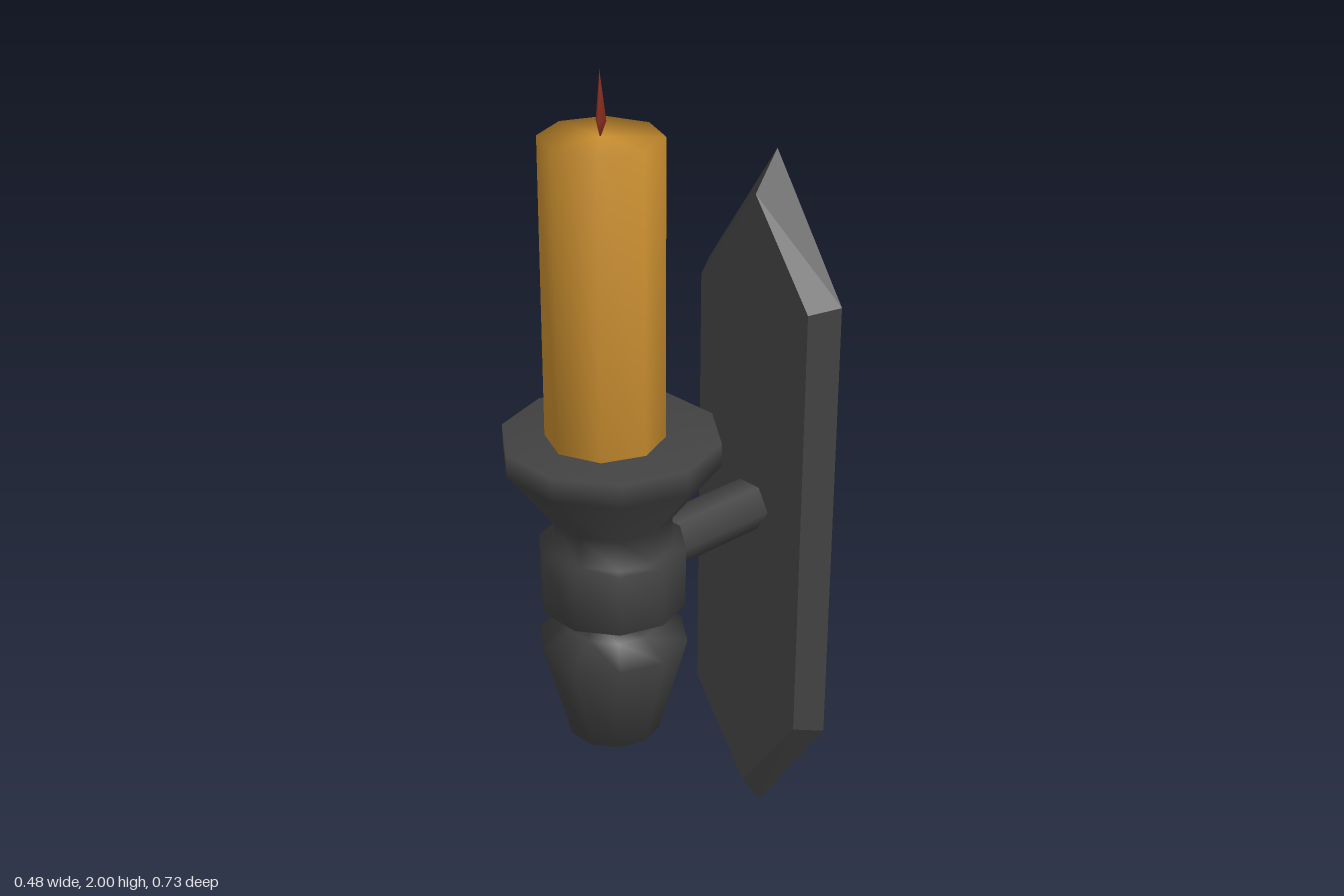
import * as THREE from 'three';

const iron = new THREE.MeshStandardMaterial({ name: 'dark iron', color: 0x424242 });
const ironSheet = new THREE.MeshStandardMaterial({ name: 'dark iron sheet', color: 0x424242, side: THREE.DoubleSide });
const wax = new THREE.MeshStandardMaterial({ name: 'amber wax', color: 0xcc9030 });
const fire = new THREE.MeshStandardMaterial({ name: 'red flame', color: 0x943222 });

// Turned part from [radius, y] pairs, bottom to top
function turned(name, profile, sides, start, material, x, z) {
  const points = profile.map(([r, y]) => new THREE.Vector2(r, y));
  const mesh = new THREE.Mesh(new THREE.LatheGeometry(points, sides, start), material);
  mesh.name = name;
  mesh.position.set(x, 0, z);
  return mesh;
}

// Pointed outline, counter-clockwise seen from the front
function outline(halfWidth, bottom, top, shoulderLow, shoulderHigh, z) {
  return [
    [0, bottom], [halfWidth, shoulderLow], [halfWidth, shoulderHigh],
    [0, top], [-halfWidth, shoulderHigh], [-halfWidth, shoulderLow],
  ].map(([x, y]) => [x, y, z]);
}

// Hollow wall plate: flat front, sloping rim, open back
function wallPlate() {
  const back = outline(0.207, 0, 1.726, 0.312, 1.415, -0.352);
  const front = outline(0.167, 0.09, 1.636, 0.325, 1.402, -0.288);
  const positions = [];
  const triangle = (a, b, c) => positions.push(...a, ...b, ...c);
  for (let i = 0; i < 6; i++) {
    const j = (i + 1) % 6;
    triangle(back[i], back[j], front[j]);
    triangle(back[i], front[j], front[i]);
    if (i > 0 && i < 5) triangle(front[0], front[i], front[j]);
  }
  const geometry = new THREE.BufferGeometry();
  geometry.setAttribute('position', new THREE.Float32BufferAttribute(positions, 3));
  geometry.computeVertexNormals();
  const mesh = new THREE.Mesh(geometry, ironSheet);
  mesh.name = 'wallPlate';
  return mesh;
}

export function createModel() {
  const model = new THREE.Group();
  model.name = 'wallSconce';

  // Ten-sided holder: finial, neck, ring and flared cup
  model.add(turned('candleHolder', [
    [0, 0.46], [0.105, 0.46], [0.17, 0.7], [0.105, 0.735], [0.105, 0.794],
    [0.165, 0.794], [0.165, 0.937], [0.135, 0.937], [0.135, 1.01],
    [0.241, 1.147], [0.241, 1.2], [0, 1.2],
  ], 10, Math.PI / 2, iron, 0, 0.137));

  // Candle and its small three-sided flame
  model.add(turned('candle', [[0, 1.19], [0.13, 1.19], [0.13, 1.865], [0, 1.865]],
    8, 0, wax, -0.002, 0.152));
  model.add(turned('flame', [[0, 1.86], [0.013, 1.895], [0, 2]],
    3, -Math.PI / 2, fire, -0.005, 0.152));

  // Open six-sided arm through the plate
  const arm = new THREE.Mesh(
    new THREE.CylinderGeometry(0.062, 0.062, 0.377, 6, 1, true, Math.PI / 2), ironSheet);
  arm.name = 'arm';
  arm.rotation.x = Math.PI / 2;
  arm.position.set(0, 0.876, -0.1785);
  model.add(arm);

  model.add(wallPlate());
  return model;
}
